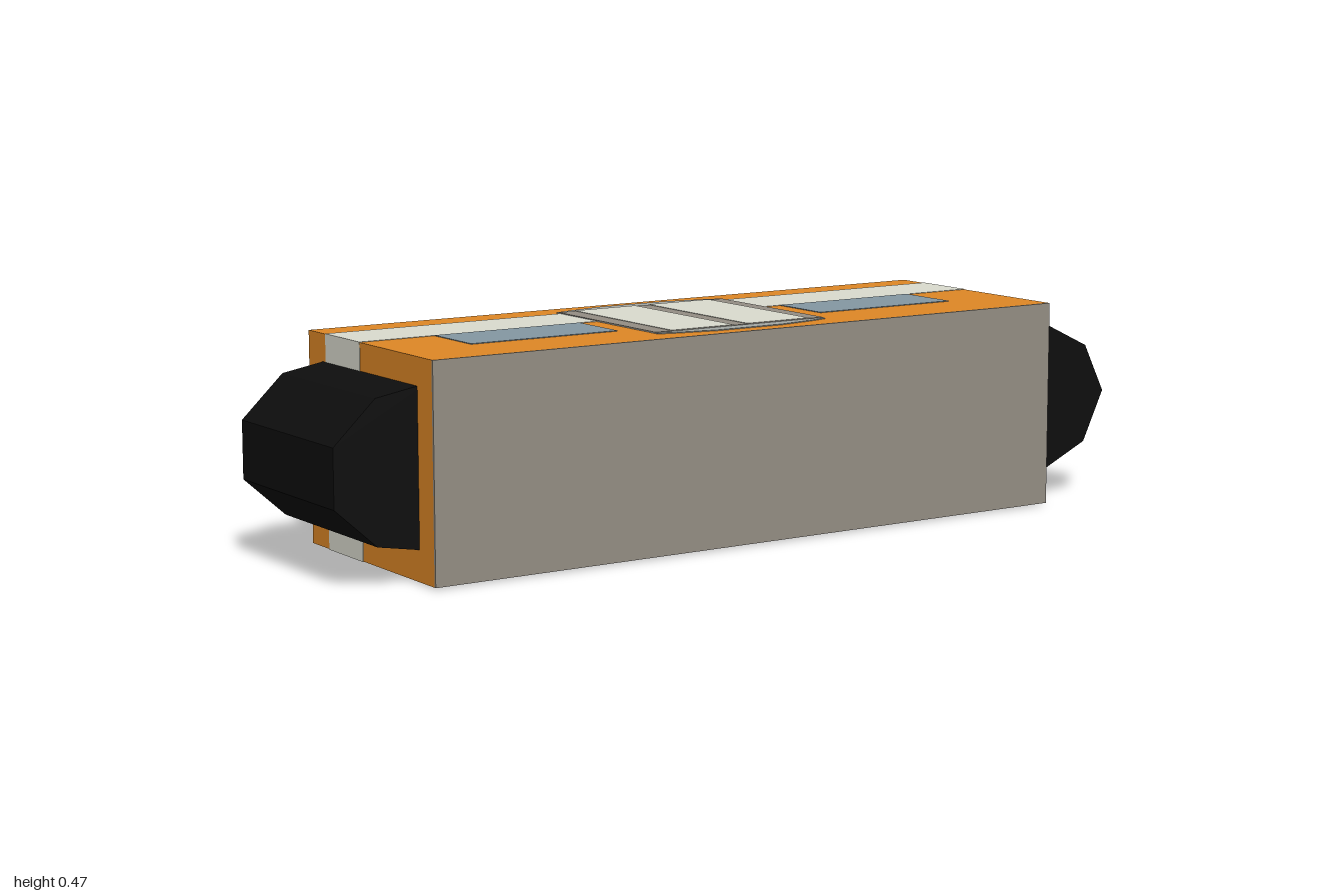
import * as THREE from 'three';

const mat = (color) => new THREE.MeshStandardMaterial({ color, flatShading: true });

export function createModel() {
  const model = new THREE.Group();
  const orange = mat(0xe08826), cream = mat(0xdcddd0), blue = mat(0x8598a3);
  const grey = mat(0x958f85), paleGrey = mat(0xa5aaa6), black = mat(0x0e0e0e);
  const H = 0.463, X0 = -0.81, X1 = 0.78;

  // Box given by its limits
  const box = (name, m, x0, x1, y0, y1, z0, z1) => {
    const mesh = new THREE.Mesh(new THREE.BoxGeometry(x1 - x0, y1 - y0, z1 - z0), m);
    mesh.position.set((x0 + x1) / 2, (y0 + y1) / 2, (z0 + z1) / 2);
    mesh.name = name;
    model.add(mesh);
  };

  // Outline in x and y, extruded along z
  const prism = (name, m, pts, z0, z1) => {
    const shape = new THREE.Shape(pts.map(([x, y]) => new THREE.Vector2(x, y)));
    const geo = new THREE.ExtrudeGeometry(shape, { depth: z1 - z0, bevelEnabled: false });
    geo.translate(0, 0, z0);
    const mesh = new THREE.Mesh(geo, m);
    mesh.name = name;
    model.add(mesh);
    return mesh;
  };

  // Body with its grey front and the stripe wrapped around it
  box('body', orange, X0, X1, 0.002, H - 0.002, -0.267, 0.265);
  box('frontPanel', grey, X0, X1, 0.002, H - 0.002, 0.262, 0.267);
  box('stripe', cream, X0 - 0.001, X1 + 0.001, 0.001, H - 0.001, -0.19, -0.038);

  // Faceted end rollers
  prism('leftRoller', black, [[0.7, 0.11], [0.7, 0.36], [0.82, 0.405], [0.945, 0.345],
    [1, 0.235], [0.945, 0.12], [0.82, 0.062]], -0.203, 0.203);
  prism('rightRoller', black, [[-0.7, 0.1], [-0.7, 0.36], [-0.79, 0.405], [-0.905, 0.385],
    [-1, 0.295], [-1, 0.17], [-0.905, 0.085], [-0.79, 0.065]], -0.203, 0.203);

  // Windows, and the clasp with two plates, on top and underneath
  const clasp = [[-0.235, -0.2], [-0.19, -0.212], [-0.1, -0.228], [0.065, -0.228], [0.155, -0.212], [0.2, -0.2],
    [0.2, 0.205], [0.155, 0.217], [0.065, 0.234], [-0.1, 0.234], [-0.19, 0.217], [-0.235, 0.205]];
  for (const [side, y] of [['top', H], ['bottom', 0]]) {
    const s = y > 0 ? -1 : 1;
    const layer = (name, m, x0, x1, z0, z1, d) =>
      box(side + name, m, x0, x1, Math.min(y + s * d, y + s * 0.01), Math.max(y + s * d, y + s * 0.01), z0, z1);
    layer('RightWindow', blue, -0.635, -0.28, -0.038, 0.115, 0.0005);
    layer('LeftWindow', blue, 0.25, 0.61, -0.038, 0.115, 0.0005);
    const base = prism(side + 'ClaspBase', paleGrey, clasp, -0.005, 0.005);
    base.rotation.x = -Math.PI / 2;
    base.position.y = y + s * 0.005;
    const out = -0.001;
    layer('ClaspFrame', grey, -0.235, 0.2, -0.195, 0.192, out);
    layer('RightPlate', cream, -0.193, -0.035, -0.195, 0.19, 2 * out);
    layer('LeftPlate', cream, 0.001, 0.163, -0.195, 0.19, 2 * out);
  }
  model.position.y = 0.002;
  return model;
}
